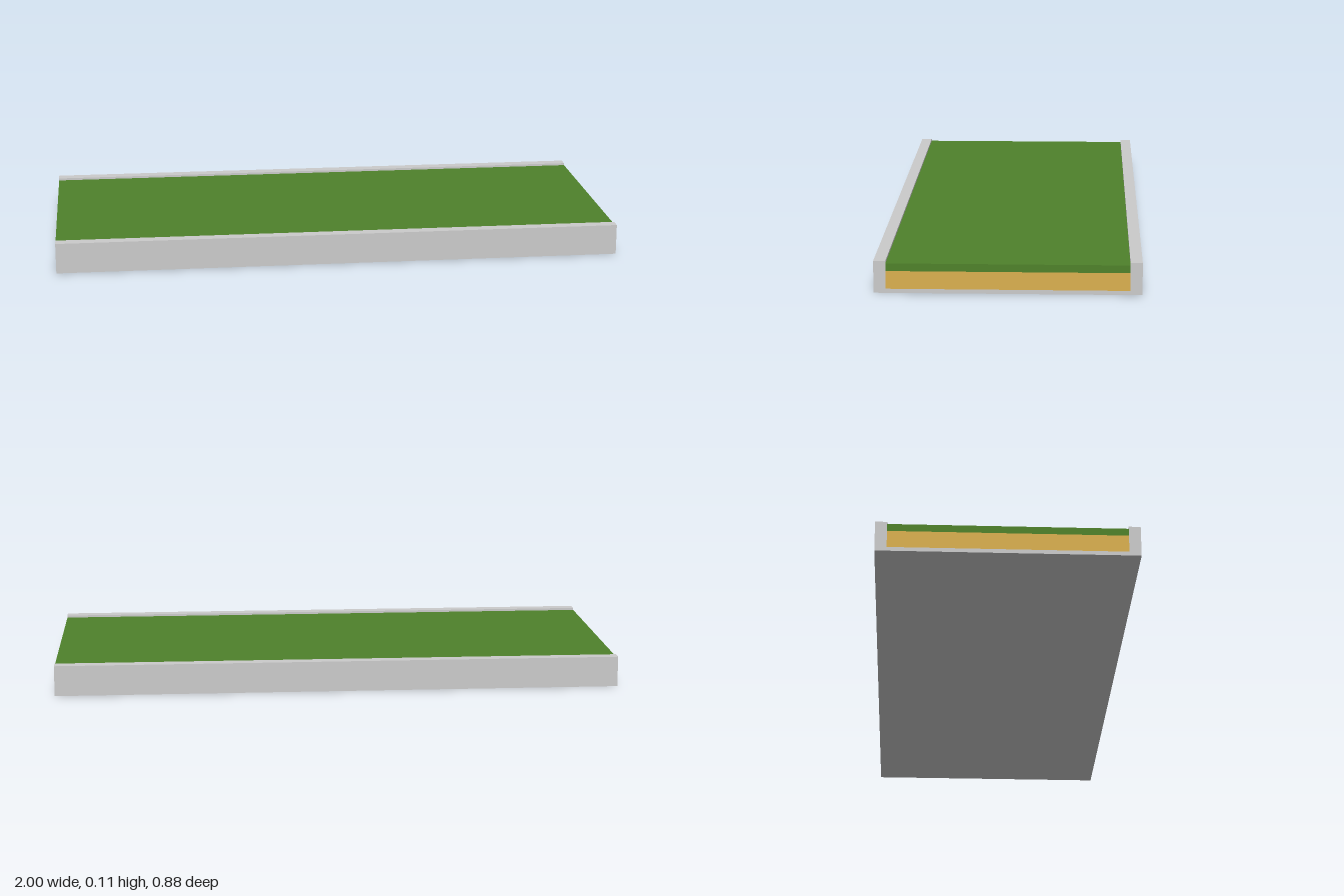
import * as THREE from 'three';

const LENGTH = 2, HALF_WIDTH = 0.44, INNER = 0.4;
const WALL_TOP = 0.108, FLOOR_TOP = 0.014, SOIL_TOP = 0.074, GRASS_TOP = 0.1;

function material(color) {
  return new THREE.MeshStandardMaterial({ color });
}

// A layer filling the channel between two heights
function layer(name, bottom, top, color) {
  const geometry = new THREE.BoxGeometry(LENGTH, top - bottom, 2 * INNER);
  const mesh = new THREE.Mesh(geometry, material(color));
  mesh.name = name;
  mesh.position.y = (bottom + top) / 2;
  return mesh;
}

export function createModel() {
  const model = new THREE.Group();
  model.name = 'plantedTray';

  // U-shaped channel, open at both ends, extruded along x
  const profile = new THREE.Shape([
    [-HALF_WIDTH, 0], [HALF_WIDTH, 0], [HALF_WIDTH, WALL_TOP], [INNER, WALL_TOP],
    [INNER, FLOOR_TOP], [-INNER, FLOOR_TOP], [-INNER, WALL_TOP], [-HALF_WIDTH, WALL_TOP],
  ].map(([x, y]) => new THREE.Vector2(x, y)));
  const channel = new THREE.ExtrudeGeometry(profile, { depth: LENGTH, bevelEnabled: false });
  channel.translate(0, 0, -LENGTH / 2).rotateY(Math.PI / 2);
  const tray = new THREE.Mesh(channel, material(0xcccccc));
  tray.name = 'tray';
  model.add(tray);

  // Filling
  model.add(layer('soilLayer', FLOOR_TOP, SOIL_TOP, 0xdbb04f));
  model.add(layer('grassLayer', SOIL_TOP, GRASS_TOP, 0x4f822b));

  return model;
}
